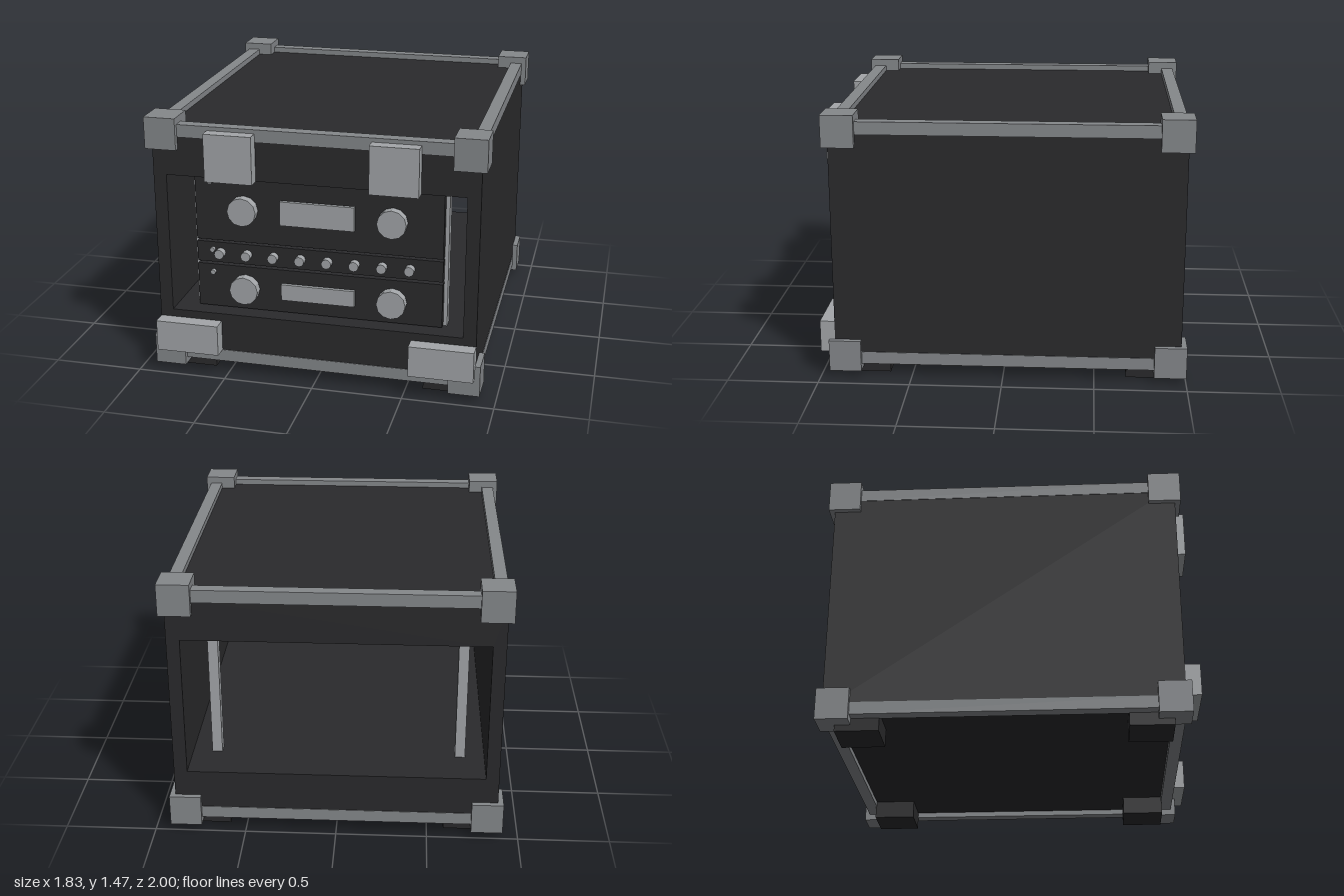
import * as THREE from 'three';

const material = (color) => new THREE.MeshStandardMaterial({ color, flatShading: true });

export function createModel() {
  const model = new THREE.Group();
  const dark = material(0x2a2a2c);
  const trim = material(0x85888b);
  const light = material(0xa3a6a9);

  const add = (name, geometry, mat, parent = model) => {
    const mesh = new THREE.Mesh(geometry, mat);
    mesh.name = name;
    parent.add(mesh);
    return mesh;
  };
  // box given by its extents along each axis
  const box = (name, mat, [x0, x1], [y0, y1], [z0, z1], parent) => {
    const mesh = add(name, new THREE.BoxGeometry(x1 - x0, y1 - y0, z1 - z0), mat, parent);
    mesh.position.set((x0 + x1) / 2, (y0 + y1) / 2, (z0 + z1) / 2);
    return mesh;
  };
  // same box on both sides of x = 0
  const pair = (name, mat, [x0, x1], y, z) => {
    box(name, mat, [x0, x1], y, z);
    box(name, mat, [-x1, -x0], y, z);
  };

  // Case: a block with an open tunnel from front to back
  const rect = (path, x, y0, y1) =>
    path.moveTo(-x, y0).lineTo(x, y0).lineTo(x, y1).lineTo(-x, y1).closePath();
  const frame = rect(new THREE.Shape(), 0.885, 0.1, 1.4);
  frame.holes.push(rect(new THREE.Path(), 0.813, 0.357, 1.147));
  const caseBody = add('caseBody',
    new THREE.ExtrudeGeometry(frame, { depth: 1.89, bevelEnabled: false }), dark);
  caseBody.position.z = -0.97;

  // Edge trims, a hair proud of the case, and corner blocks
  for (const [y0, y1] of [[0.07, 0.138], [1.365, 1.432]]) {
    pair('sideEdgeTrim', trim, [0.82, 0.888], [y0, y1], [-0.9, 0.85]);
    box('frontEdgeTrim', trim, [-0.82, 0.82], [y0, y1], [0.855, 0.923]);
    box('backEdgeTrim', trim, [-0.82, 0.82], [y0, y1], [-0.973, -0.905]);
  }
  for (const y of [[0.035, 0.21], [1.295, 1.47]]) {
    for (const z of [[-1, -0.825], [0.775, 0.95]]) {
      pair('cornerBlock', trim, [0.742, 0.915], y, z);
    }
  }

  // Feet
  for (const z of [[-0.91, -0.675], [0.625, 0.86]]) {
    pair('foot', dark, [0.592, 0.828], [0, 0.1], z);
  }

  // Front latches
  pair('upperLatch', light, [0.313, 0.574], [1.147, 1.41], [0.92, 0.99]);
  pair('lowerLatch', light, [0.532, 0.885], [0.138, 0.313], [0.92, 1]);

  // Rack rails
  for (const z of [[-0.74, -0.68], [0.73, 0.79]]) {
    pair('rackRail', light, [0.65, 0.706], [0.357, 1.147], z);
  }

  // Rack units with their controls
  const face = 0.835;
  const knob = (name, x, y, r, depth, parent) => {
    const geometry = new THREE.CylinderGeometry(r, r, depth, 12).rotateX(Math.PI / 2);
    add(name, geometry, light, parent).position.set(x, y, face + depth / 2);
  };
  const unit = (name, y) => {
    const group = new THREE.Group();
    group.name = name;
    model.add(group);
    box('panel', dark, [-0.685, 0.685], y, [face - 0.045, face], group);
    knob('indicator', -0.595, y[1] - 0.042, 0.014, 0.02, group);
    return group;
  };
  const amplifier = (name, y, knobY, display) => {
    const group = unit(name, y);
    for (const x of [-0.412, 0.412]) knob('dial', x, knobY, 0.08, 0.05, group);
    box('display', light, [-0.205, 0.205], display, [face, face + 0.02], group);
  };
  amplifier('upperUnit', [0.76, 1.143], 0.949, [0.882, 1.018]);
  amplifier('lowerUnit', [0.365, 0.615], 0.488, [0.444, 0.536]);
  const mixer = unit('middleUnit', [0.629, 0.747]);
  for (let i = 0; i < 8; i++) knob('smallKnob', -0.55 + i * 0.151, 0.688, 0.027, 0.04, mixer);

  return model;
}
